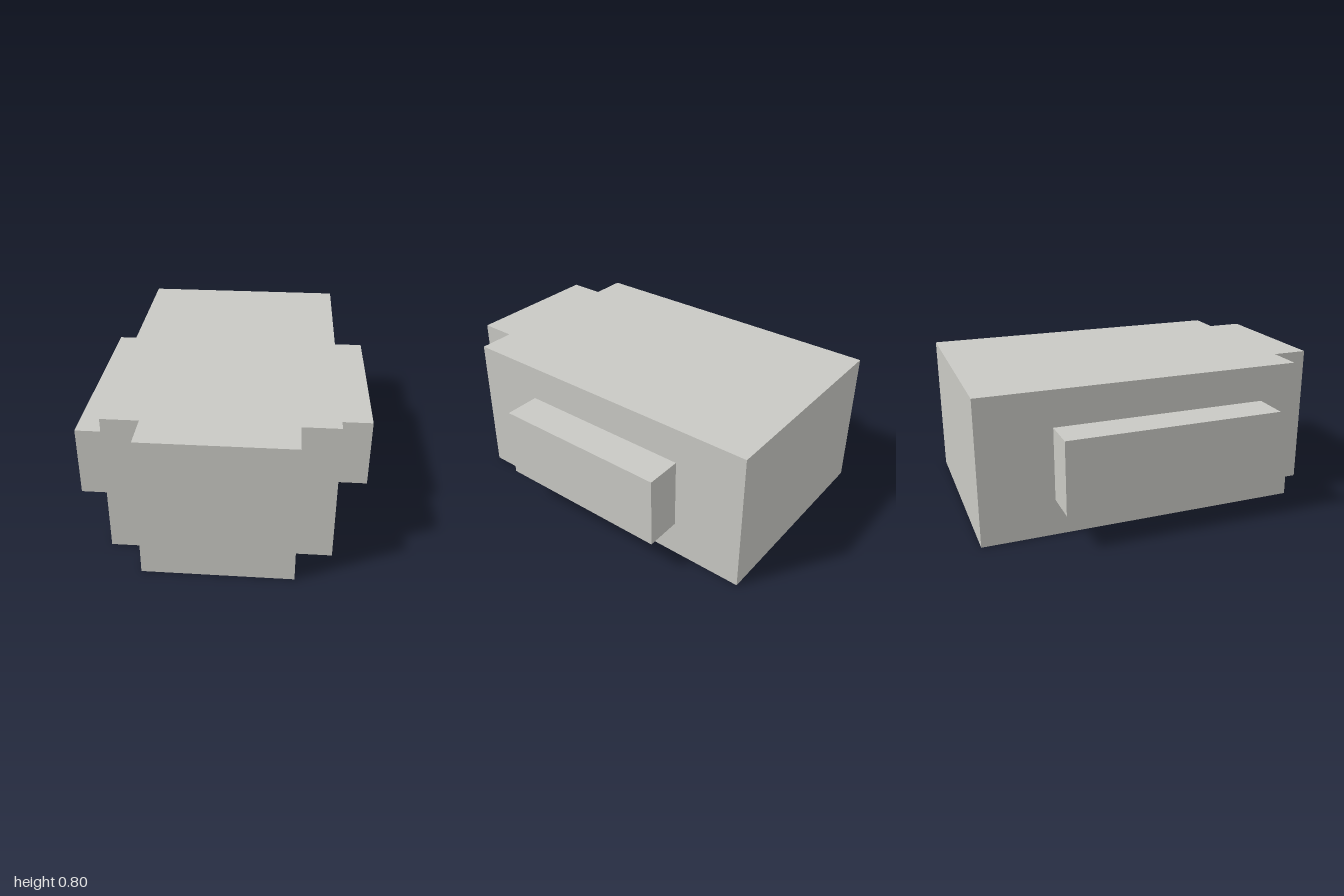
import * as THREE from 'three';

export function createModel() {
  const model = new THREE.Group();
  model.name = 'blockModel';
  const paleGrey = new THREE.MeshStandardMaterial({ color: 0xc9c9c4 });
  paleGrey.name = 'paleGrey';

  // Main body with a narrower front step: footprint [x, z] extruded upward
  const footprint = [
    [-0.6, -1], [-0.6, 0.8], [-0.4, 0.8], [-0.4, 1],
    [0.4, 1], [0.4, 0.8], [0.6, 0.8], [0.6, -1],
  ];
  const shape = new THREE.Shape(footprint.map(([x, z]) => new THREE.Vector2(x, -z)));
  const bodyGeometry = new THREE.ExtrudeGeometry(shape, { depth: 0.8, bevelEnabled: false });
  bodyGeometry.rotateX(-Math.PI / 2);
  const body = new THREE.Mesh(bodyGeometry, paleGrey);
  body.name = 'body';
  model.add(body);

  // Side blocks: the right one reaches further forward than the left one
  const addSideBlock = (name, side, back, front) => {
    const block = new THREE.Mesh(new THREE.BoxGeometry(0.2, 0.4, front - back), paleGrey);
    block.name = name;
    block.position.set(side * 0.7, 0.4, (back + front) / 2);
    model.add(block);
  };
  addSideBlock('leftSideBlock', 1, -0.6, 0.4);
  addSideBlock('rightSideBlock', -1, -0.6, 0.6);

  return model;
}
